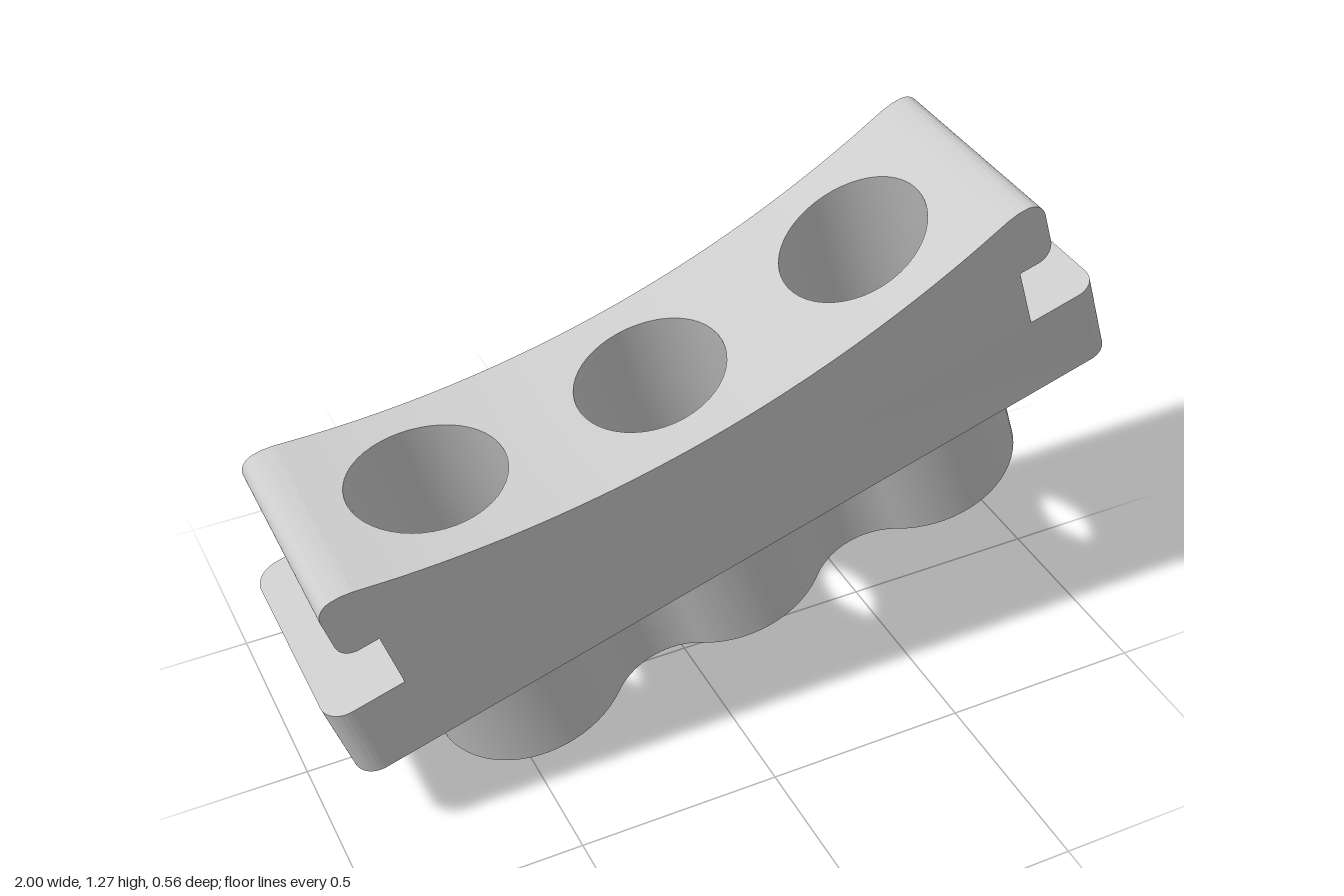
import * as THREE from 'three';
import { toCreasedNormals } from 'three/addons/utils/BufferGeometryUtils.js';

const PI = Math.PI;
const HALF_DEPTH = 0.28;
const CORE = 0.823;          // half length of the core between the notches
const FLANGE = 1.013, FLANGE_TOP = 0.209;
const CENTRES = [-0.56, 0, 0.56];
const BORE = 0.183, TUBE = 0.25, TUBE_DROP = 0.278;
const ARC_LOW = 0.395, ARC_R = 2.75;

const material = new THREE.MeshStandardMaterial({ color: 0xcccccc });
const mesh = (name, geometry) => {
  const m = new THREE.Mesh(toCreasedNormals(geometry, 0.5), material);
  m.name = name;
  return m;
};

// Height of the concave top at lengthwise position u
const topHeight = (u) => ARC_LOW + ARC_R - Math.sqrt(ARC_R * ARC_R - u * u);

// Half width of a bore at u (0 between bores)
const boreWidth = (u) =>
  Math.sqrt(Math.max(0, ...CENTRES.map((c) => BORE * BORE - (u - c) ** 2)));

// Plan outline with three bores, extruded upwards from y0 to y1
function boredPlate(shape, y0, y1) {
  for (const c of CENTRES) shape.holes.push(new THREE.Path().absarc(c, 0, BORE, 0, 2 * PI, true));
  const g = new THREE.ExtrudeGeometry(shape, { depth: y1 - y0, bevelEnabled: false, curveSegments: 24 });
  return g.rotateX(-PI / 2).translate(0, y0, 0);
}

function flangeShape() {
  const r = 0.06, a = FLANGE - r, b = HALF_DEPTH - r;
  return new THREE.Shape()
    .absarc(a, b, r, 0, PI / 2)
    .absarc(-a, b, r, PI / 2, PI)
    .absarc(-a, -b, r, PI, 1.5 * PI)
    .absarc(a, -b, r, 1.5 * PI, 2 * PI);
}

// Three round lobes blended by concave fillets
function tubeShape() {
  const fx = 0.28, fz = 0.321, fr = Math.hypot(fx, fz) - TUBE, A = Math.atan2(fz, fx);
  return new THREE.Shape()
    .absarc(CENTRES[2], 0, TUBE, A - PI, PI - A)
    .absarc(fx, fz, fr, -A, A - PI, true)
    .absarc(0, 0, TUBE, A, PI - A)
    .absarc(-fx, fz, fr, -A, A - PI, true)
    .absarc(CENTRES[0], 0, TUBE, A, 2 * PI - A)
    .absarc(-fx, -fz, fr, PI - A, A, true)
    .absarc(0, 0, TUBE, PI + A, 2 * PI - A)
    .absarc(fx, -fz, fr, PI - A, A, true);
}

// Core block in columns along u: curved top, bore walls, long sides and ends
function coreGeometry() {
  const us = [-CORE, CORE];
  for (const c of CENTRES) for (let i = 0; i <= 24; i++) us.push(c + BORE * Math.cos((i * PI) / 24));
  for (const g of [-0.28, 0.28]) for (const d of [-0.05, 0, 0.05]) us.push(g + d);
  us.sort((a, b) => a - b);

  const pos = [];
  const quad = (a, b, c, d, flip) =>
    pos.push(...(flip ? [a, c, b, a, d, c] : [a, b, c, a, c, d]).flat());
  const base = FLANGE_TOP, top = topHeight(CORE), D = HALF_DEPTH;

  for (const s of [1, -1]) {
    const flip = s < 0;
    for (let i = 0; i < us.length - 1; i++) {
      const [u0, u1] = [us[i], us[i + 1]];
      const [v0, v1] = [topHeight(u0), topHeight(u1)];
      const [w0, w1] = [boreWidth(u0) * s, boreWidth(u1) * s];
      const d = D * s;
      quad([u0, v0, w0], [u0, v0, d], [u1, v1, d], [u1, v1, w1], flip);
      quad([u0, base, d], [u1, base, d], [u1, v1, d], [u0, v0, d], flip);
      if (Math.max(Math.abs(w0), Math.abs(w1)) > 1e-4) {
        quad([u0, base, w0], [u0, v0, w0], [u1, v1, w1], [u1, base, w1], flip);
      }
    }
    const e = CORE * s;
    quad([e, base, D], [e, base, -D], [e, top, -D], [e, top, D], flip);
  }
  const g = new THREE.BufferGeometry();
  g.setAttribute('position', new THREE.Float32BufferAttribute(pos, 3));
  return g;
}

// Rounded lip overhanging the notch at one end
function lipGeometry() {
  const r = 0.042, out = 0.914, low = 0.363, high = 0.526;
  const shape = new THREE.Shape()
    .moveTo(CORE, topHeight(CORE))
    .lineTo(CORE, low)
    .absarc(out - r, low + r, r, -PI / 2, 0)
    .absarc(out - r, high - r, r, 0, PI / 2)
    .lineTo(0.85, high);
  return new THREE.ExtrudeGeometry(shape, { depth: 2 * HALF_DEPTH, bevelEnabled: false, curveSegments: 8 })
    .translate(0, 0, -HALF_DEPTH);
}

export function createModel() {
  const body = new THREE.Group();
  body.name = 'saddleBlock';
  body.add(mesh('flange', boredPlate(flangeShape(), 0, FLANGE_TOP)));
  body.add(mesh('tubes', boredPlate(tubeShape(), -TUBE_DROP, 0)));
  body.add(mesh('curvedCore', coreGeometry()));
  body.add(mesh('leftLip', lipGeometry()));
  body.add(mesh('rightLip', lipGeometry().rotateY(PI)));

  // The whole block leans upwards to its left
  body.rotation.z = 0.303;
  body.position.set(0.031, 0.507, 0);

  const model = new THREE.Group();
  model.name = 'tripleBoreSaddle';
  model.add(body);
  return model;
}
